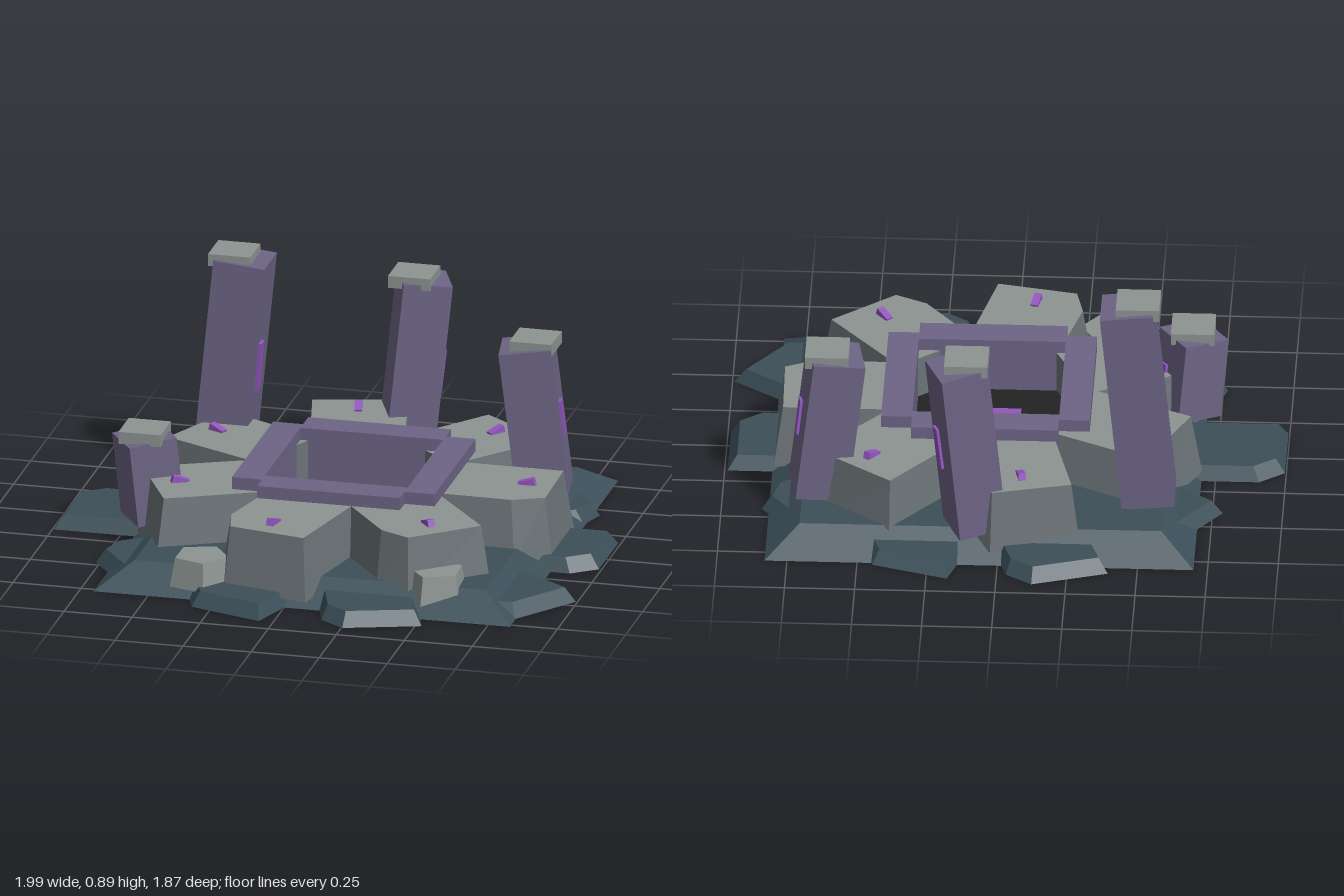
import * as THREE from 'three';

const CX = 0.065; // centre of the ring of stones

const mat = (name, color) => {
  const m = new THREE.MeshStandardMaterial({ color });
  m.name = name;
  return m;
};

// Faceted prism between two matching [x, z] outlines; group 0 = sides and bottom, group 1 = top
function prism(low, high, y0, y1) {
  const pos = [];
  const n = low.length;
  const a = i => [low[i % n][0], y0, low[i % n][1]];
  const b = i => [high[i % n][0], y1, high[i % n][1]];
  for (let i = 0; i < n; i++) pos.push(...a(i + 1), ...a(i), ...b(i), ...a(i + 1), ...b(i), ...b(i + 1));
  for (let i = 1; i < n - 1; i++) pos.push(...a(0), ...a(i), ...a(i + 1));
  const split = pos.length / 3;
  for (let i = 1; i < n - 1; i++) pos.push(...b(0), ...b(i + 1), ...b(i));
  const g = new THREE.BufferGeometry();
  g.setAttribute('position', new THREE.Float32BufferAttribute(pos, 3));
  g.computeVertexNormals();
  g.addGroup(0, split, 0);
  g.addGroup(split, pos.length / 3 - split, 1);
  return g;
}

export function createModel() {
  const model = new THREE.Group();
  const slate = mat('dark slate', 0x3c4f59);
  const rock = mat('grey rock', 0x6c7478);
  const stone = mat('pale stone', 0x8c9491);
  const masonry = mat('violet masonry', 0x6d6485);
  const crystal = mat('purple crystal', 0x9456c0);
  const dark = mat('black pit', 0x222222);

  const add = (parent, name, geo, material, x = 0, y = 0, z = 0) => {
    const m = new THREE.Mesh(geo, material);
    m.name = name;
    m.position.set(x, y, z);
    parent.add(m);
    return m;
  };
  const box = (parent, name, material, w, h, d, x, y, z) =>
    add(parent, name, new THREE.BoxGeometry(w, h, d), material, x, y, z);

  // Sloped square plinth
  const rect = (w, d) => [[w, -d], [w, d], [-w, d], [-w, -d]];
  add(model, 'plinth', prism(rect(0.765, 0.79), rect(0.645, 0.665), 0, 0.085), [slate, slate], CX, 0, -0.02);

  // Ten paving slabs sticking out around the plinth, each at its own reach
  const reach = [0.925, 1.02, 0.94, 0.92, 0.95, 1.06, 0.925, 0.95, 0.9, 0.9];
  reach.forEach((r, i) => {
    const low = [[r, -0.176], [r, 0.107], [r - 0.09, 0.176], [r - 0.48, 0.176], [r - 0.48, -0.176]];
    const mid = r - 0.24;
    const high = low.map(([x, z]) => [mid + (x - mid) * 0.86, z * 0.86]);
    add(model, 'slab', prism(low, high, 0, 0.052), [slate, slate], CX).rotation.y = -i * Math.PI / 5;
  });

  // Seven boulders in a ring, each with a crystal shard on top
  const boulderTop = [[0.727, -0.166], [0.733, 0.123], [0.62, 0.176], [0.32, 0.17], [0.32, -0.166]];
  const boulderLow = [[0.76, -0.19], [0.76, 0.135], [0.64, 0.208], [0.32, 0.2], [0.32, -0.19]];
  const boulderGeo = prism(boulderLow, boulderTop, 0.03, 0.26);
  for (let i = 0; i < 7; i++) {
    const g = new THREE.Group();
    g.name = 'boulder';
    g.position.x = CX;
    g.rotation.y = -i * Math.PI * 2 / 7;
    add(g, 'boulderBody', boulderGeo, [rock, stone]);
    box(g, 'boulderShard', crystal, 0.06, 0.03, 0.027, 0.635, 0.262, 0).rotation.z = 0.3;
    model.add(g);
  }

  // Square well: four walls, black floor, glowing plate
  for (const s of [-1, 1]) {
    box(model, 'wellSideWall', masonry, 0.11, 0.225, 0.6, CX + s * 0.317, 0.193, 0.008);
    box(model, 'wellEndWall', masonry, 0.524, 0.225, 0.115, CX, 0.193, 0.005 + s * 0.315);
  }
  box(model, 'wellFloor', dark, 0.53, 0.03, 0.53, CX, 0.09, 0.005);
  box(model, 'wellPlate', crystal, 0.22, 0.009, 0.22, CX, 0.109, 0.005);

  // Leaning pillars with level capstones: [foot x, z, length, width, yaw, lean, cap x, z, top y]
  const pillars = [
    [-0.525, -0.44, 0.78, 0.188, 0, 0.1, -0.487, -0.44, 0.892],
    [0.085, -0.665, 0.665, 0.178, 0.39, 0.105, 0.115, -0.675, 0.78],
    [0.655, -0.435, 0.545, 0.188, 0.17, -0.12, 0.622, -0.43, 0.662],
    [-0.63, 0.175, 0.305, 0.18, 0.6, -0.11, -0.655, 0.2, 0.428],
  ];
  for (const [x, z, h, w, yaw, lean, capX, capZ, top] of pillars) {
    const g = new THREE.Group();
    g.name = 'pillar';
    g.position.set(x, 0.09, z);
    g.rotation.set(0, yaw, -lean, 'YXZ');
    box(g, 'pillarShaft', masonry, w, h, w, 0, h / 2, 0);
    box(g, 'pillarShard', crystal, 0.02, h * 0.24, 0.04, w / 2, h * 0.5, 0.03).rotation.x = 0.06;
    model.add(g);
    box(model, 'pillarCap', stone, 0.155, 0.045, 0.152, capX, top - 0.0225, capZ);
  }

  // Loose stones in front
  const looseGeo = new THREE.CylinderGeometry(0.1, 0.12, 0.105, 5).toNonIndexed();
  looseGeo.computeVertexNormals();
  for (const [x, z, yaw] of [[-0.33, 0.665, 0.3], [0.52, 0.61, 1.0]]) {
    add(model, 'looseStone', looseGeo, stone, x, 0.083, z).rotation.y = yaw;
  }
  return model;
}
